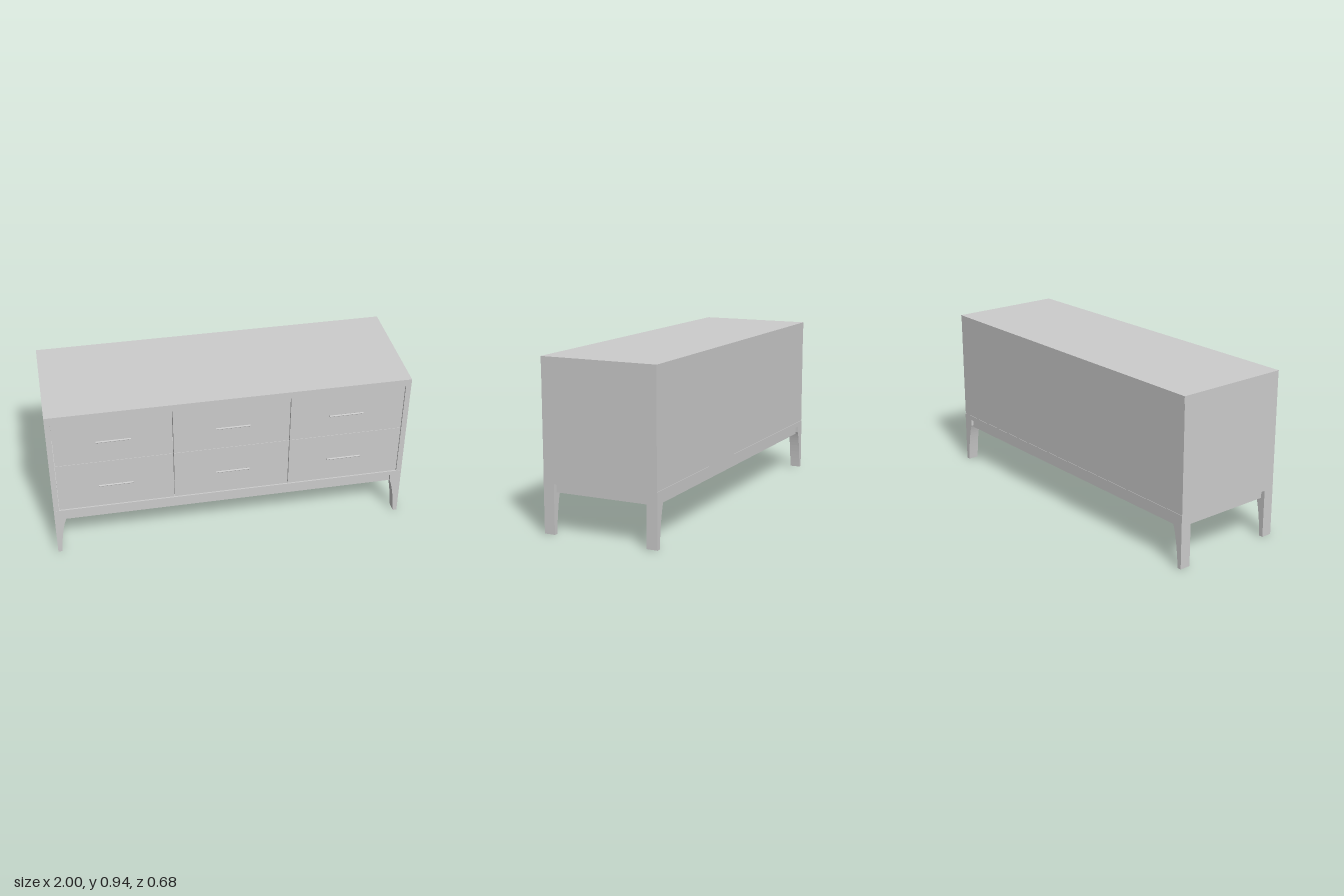
import * as THREE from 'three';

const material = new THREE.MeshStandardMaterial({ color: 0xcccccc });
const BACK = -0.337, FRONT = 0.329;

export function createModel() {
  const model = new THREE.Group();
  model.name = 'sideboard';

  const add = (name, geometry, parent = model) => {
    const mesh = new THREE.Mesh(geometry, material);
    mesh.name = name;
    parent.add(mesh);
    return mesh;
  };
  // Box given by its limits on each axis
  const box = (name, x0, x1, y0, y1, z0, z1, parent) => {
    const mesh = add(name, new THREE.BoxGeometry(x1 - x0, y1 - y0, z1 - z0), parent);
    mesh.position.set((x0 + x1) / 2, (y0 + y1) / 2, (z0 + z1) / 2);
    return mesh;
  };

  // Carcass
  box('topBoard', -1, 1, 0.897, 0.937, BACK, FRONT);
  box('baseBoard', -1, 1, 0.273, 0.301, BACK, FRONT);
  box('rightSidePanel', -1, -0.97, 0.301, 0.897, BACK + 0.002, FRONT - 0.001);
  box('leftSidePanel', 0.97, 1, 0.301, 0.897, BACK + 0.002, FRONT - 0.001);
  box('backPanel', -0.97, 0.97, 0.301, 0.897, BACK + 0.002, BACK + 0.02);

  // Drawers: three columns, two rows, each with a bar handle on two posts
  const columns = [[-0.97, -0.322, -0.645], [-0.322, 0.327, 0.007], [0.327, 0.97, 0.642]];
  const rows = [[0.303, 0.608, 0.45], [0.61, 0.895, 0.75]];
  const gap = 0.002;
  for (const [x0, x1, handleX] of columns) {
    for (const [y0, y1, handleY] of rows) {
      const drawer = new THREE.Group();
      drawer.name = 'drawer';
      model.add(drawer);
      box('drawerFront', x0 + gap, x1 - gap, y0, y1, FRONT - 0.026, FRONT - 0.006, drawer);
      box('drawerBox', x0 + 0.015, x1 - 0.015, y0 + 0.015, y1 - 0.015, BACK + 0.04, FRONT - 0.026, drawer);

      const bar = add('handleBar', new THREE.CylinderGeometry(0.005, 0.005, 0.19, 16), drawer);
      bar.rotation.z = Math.PI / 2;
      bar.position.set(handleX, handleY, 0.333);
      for (const side of [-1, 1]) {
        const post = add('handlePost', new THREE.CylinderGeometry(0.003, 0.003, 0.014, 10), drawer);
        post.rotation.x = Math.PI / 2;
        post.position.set(handleX + side * 0.06, handleY, 0.326);
      }
    }
  }

  // Legs: straight outer edge, inner edge sweeping in to a narrow foot
  const profile = new THREE.Shape();
  profile.moveTo(0.977, 0);
  profile.lineTo(1, 0);
  profile.lineTo(1, 0.273);
  profile.lineTo(0.937, 0.273);
  profile.lineTo(0.937, 0.235);
  profile.quadraticCurveTo(0.964, 0.17, 0.977, 0);
  const legDepth = 0.062;
  const legGeometry = new THREE.ExtrudeGeometry(profile, {
    depth: legDepth, bevelEnabled: false, curveSegments: 12,
  });
  for (const [end, z] of [['front', FRONT - legDepth], ['back', BACK]]) {
    add(end + 'LeftLeg', legGeometry).position.z = z;
    const right = add(end + 'RightLeg', legGeometry);
    right.rotation.y = Math.PI;
    right.position.z = z + legDepth;
  }

  // Rails between the legs
  box('frontRail', -0.94, 0.94, 0.224, 0.273, FRONT - 0.046, FRONT - 0.016);
  box('backRail', -0.94, 0.94, 0.224, 0.273, BACK + 0.016, BACK + 0.046);
  for (const side of [-1, 1]) {
    const rail = box('sideRail', 0.947, 0.977, 0.224, 0.273, BACK + legDepth, FRONT - legDepth);
    rail.position.x *= side;
  }

  return model;
}
